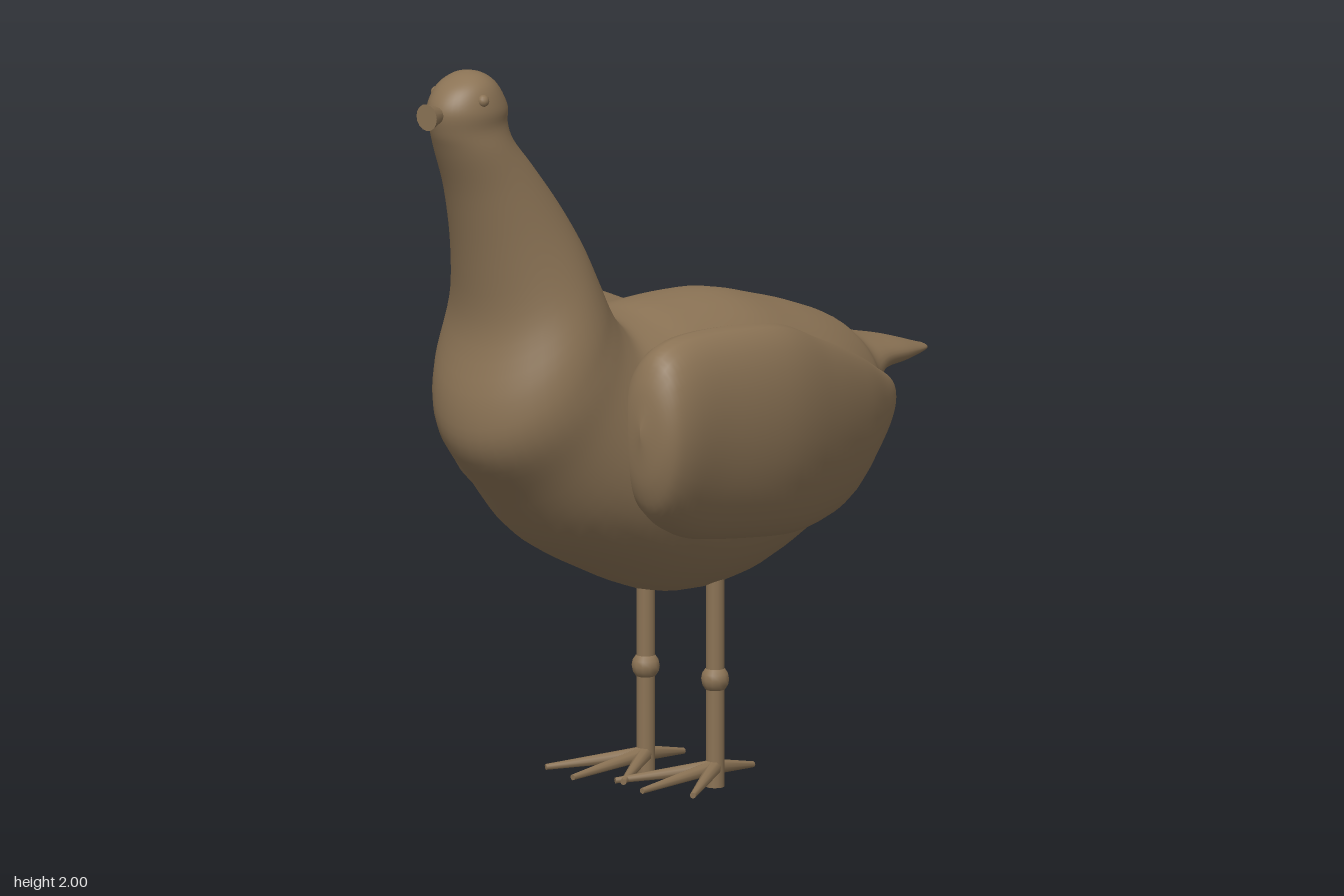
import * as THREE from 'three';

const V = (x, y, z) => new THREE.Vector3(x, y, z);

// Smooth skin over elliptical rings [top point, bottom point, half width in x], listed from back to front
function loft(rings, steps, sides) {
  const curve = (pick) => new THREE.CatmullRomCurve3(rings.map(pick), false, 'catmullrom', 0.5);
  const top = curve((r) => r[0]);
  const bottom = curve((r) => r[1]);
  const width = curve((r) => V(r[2], 0, 0));
  const pos = [];
  const index = [];
  for (let i = 0; i <= steps; i++) {
    const t = i / steps;
    const a = top.getPoint(t);
    const b = bottom.getPoint(t);
    const w = Math.max(0, width.getPoint(t).x);
    const mid = a.clone().add(b).multiplyScalar(0.5);
    const half = a.clone().sub(b).multiplyScalar(0.5);
    for (let j = 0; j < sides; j++) {
      const ang = (j / sides) * Math.PI * 2;
      const p = mid.clone().addScaledVector(half, Math.cos(ang));
      pos.push(p.x + w * Math.sin(ang), p.y, p.z);
      if (i === steps) continue;
      const q = i * sides + j;
      const r = i * sides + ((j + 1) % sides);
      index.push(q, q + sides, r, r, q + sides, r + sides);
    }
  }
  const geo = new THREE.BufferGeometry();
  geo.setAttribute('position', new THREE.Float32BufferAttribute(pos, 3));
  geo.setIndex(index);
  geo.computeVertexNormals();
  return geo;
}

// Tapered rod between two points
function rod(from, to, r0, r1, sides = 12) {
  const dir = to.clone().sub(from);
  const geo = new THREE.CylinderGeometry(r1, r0, dir.length(), sides);
  geo.applyQuaternion(new THREE.Quaternion().setFromUnitVectors(V(0, 1, 0), dir.clone().normalize()));
  const m = from.clone().add(to).multiplyScalar(0.5);
  return geo.translate(m.x, m.y, m.z);
}

export function createModel() {
  const model = new THREE.Group();
  model.name = 'bird';
  const brown = new THREE.MeshStandardMaterial({ color: 0x8b7355 });
  brown.name = 'brown';
  const add = (name, geo, parent = model) => {
    const mesh = new THREE.Mesh(geo, brown);
    mesh.name = name;
    parent.add(mesh);
    return mesh;
  };

  // Tail, body, neck and head: upper z, y / lower z, y / half width
  const body = [
    [-0.945, 1.0, -0.945, 0.995, 0],
    [-0.925, 1.005, -0.92, 0.985, 0.045],
    [-0.8, 1.045, -0.8, 0.975, 0.105],
    [-0.68, 1.075, -0.68, 0.96, 0.135],
    [-0.6, 1.105, -0.63, 0.88, 0.16],
    [-0.54, 1.15, -0.59, 0.76, 0.21],
    [-0.43, 1.195, -0.48, 0.66, 0.27],
    [-0.3, 1.235, -0.33, 0.59, 0.31],
    [-0.12, 1.28, -0.12, 0.52, 0.34],
    [0.1, 1.285, 0.1, 0.52, 0.35],
    [0.22, 1.275, 0.32, 0.605, 0.33],
    [0.3, 1.285, 0.52, 0.71, 0.285],
    [0.34, 1.32, 0.67, 0.86, 0.26],
    [0.37, 1.37, 0.775, 0.98, 0.25],
    [0.4, 1.43, 0.79, 1.11, 0.235],
    [0.45, 1.53, 0.75, 1.3, 0.195],
    [0.52, 1.64, 0.77, 1.47, 0.155],
    [0.6, 1.74, 0.82, 1.66, 0.12],
    [0.66, 1.81, 0.875, 1.79, 0.1],
    [0.675, 1.86, 0.9, 1.85, 0.09],
    [0.675, 1.9, 0.91, 1.91, 0.092],
    [0.71, 1.96, 0.88, 1.96, 0.075],
    [0.75, 1.99, 0.83, 1.99, 0.042],
    [0.79, 2.0, 0.79, 2.0, 0],
  ].map(([zt, yt, zb, yb, w]) => [V(0, yt, zt), V(0, yb, zb), w]);
  add('body', loft(body, 115, 40));

  // Folded wing: z / top x, y / bottom x, y / half thickness
  const wing = [
    [-0.665, 0.16, 0.93, 0.16, 0.92, 0],
    [-0.64, 0.165, 0.98, 0.145, 0.85, 0.035],
    [-0.55, 0.19, 1.03, 0.14, 0.76, 0.08],
    [-0.4, 0.25, 1.1, 0.18, 0.68, 0.11],
    [-0.2, 0.31, 1.18, 0.23, 0.66, 0.125],
    [0, 0.34, 1.255, 0.27, 0.68, 0.13],
    [0.25, 0.325, 1.275, 0.275, 0.72, 0.128],
    [0.4, 0.32, 1.255, 0.3, 0.79, 0.115],
    [0.46, 0.32, 1.18, 0.31, 0.88, 0.08],
    [0.485, 0.32, 1.05, 0.32, 1.03, 0],
  ];

  for (const [side, s] of [['left', 1], ['right', -1]]) {
    add(side + 'Wing', loft(wing.map(([z, xt, yt, xb, yb, w]) => [V(s * xt, yt, z), V(s * xb, yb, z), w]), 54, 28));

    // Eye
    add(side + 'Eye', new THREE.SphereGeometry(0.016, 12, 8).translate(s * 0.08, 1.935, 0.82));

    // Leg, knee and toes
    const leg = new THREE.Group();
    leg.name = side + 'Leg';
    leg.position.set(s * 0.12, 0, -0.025);
    model.add(leg);
    add('shin', rod(V(0, 0, 0), V(0, 0.57, 0), 0.024, 0.024), leg);
    add('knee', new THREE.SphereGeometry(0.037, 12, 8).translate(0, 0.283, 0), leg);
    for (const [angle, length] of [[-0.52, 0.27], [0, 0.28], [0.52, 0.27], [Math.PI, 0.145]]) {
      const tip = V(Math.sin(angle) * length, 0.034, Math.cos(angle) * length);
      add('toe', rod(V(0, 0.052, 0), tip, 0.02, 0.008, 8), leg);
    }
  }

  // Short flared beak
  add('beak', rod(V(0, 1.9, 0.88), V(0, 1.9, 0.948), 0.012, 0.035, 16));
  return model;
}
